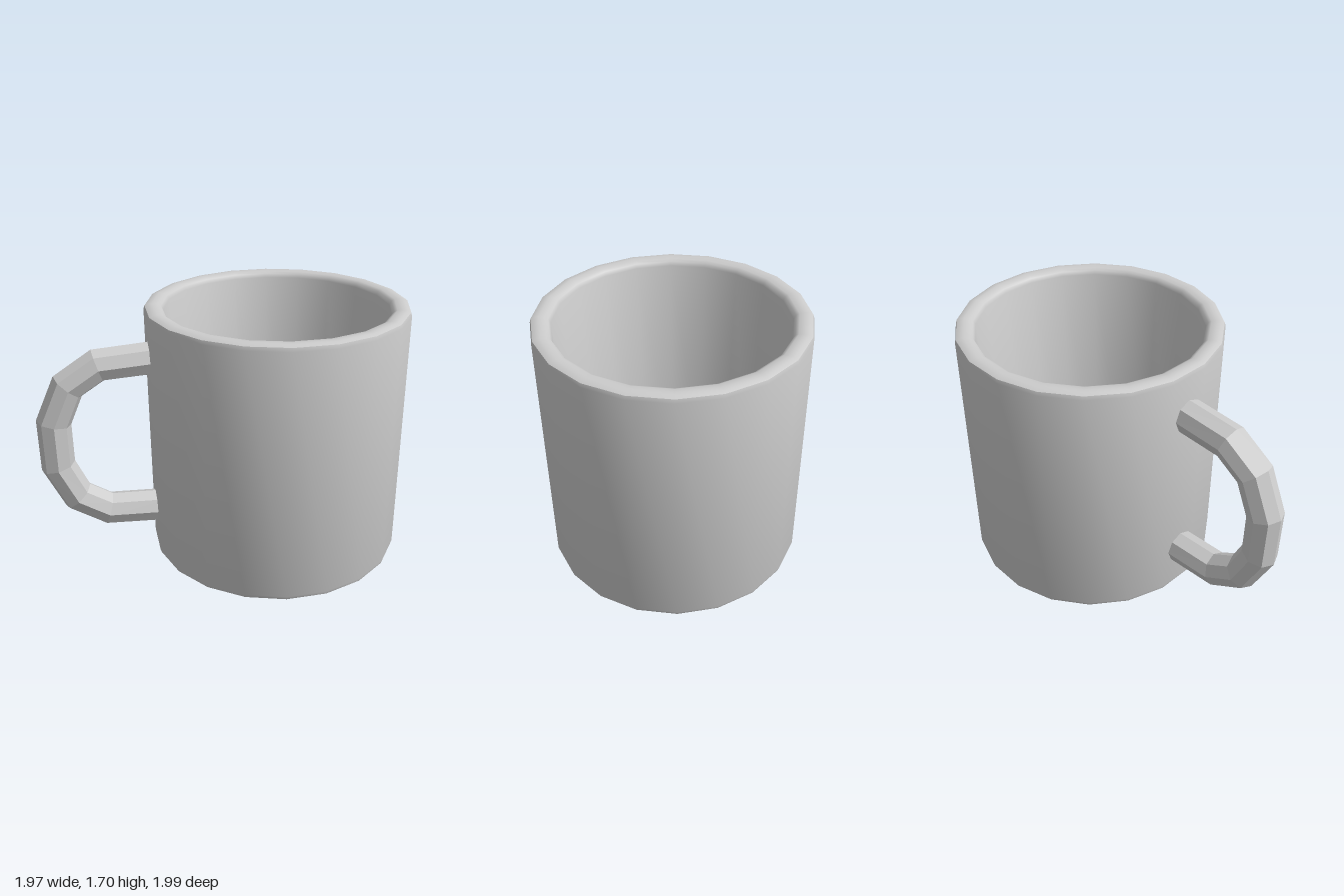
import * as THREE from 'three';
import { toCreasedNormals } from 'three/addons/utils/BufferGeometryUtils.js';

// Octagonal tube swept along a path in the (t, y) plane, with bisected joints
function sweepOctagon(path, radius, sides = 8) {
  const positions = [];
  const index = [];
  path.forEach((p, i) => {
    const before = path[Math.max(i - 1, 0)];
    const after = path[Math.min(i + 1, path.length - 1)];
    const dirIn = p.clone().sub(before).normalize();
    const dirOut = after.clone().sub(p).normalize();
    const tangent = dirIn.add(dirOut).normalize();
    const normal = new THREE.Vector2(-tangent.y, tangent.x);
    for (let k = 0; k < sides; k++) {
      const a = (k / sides) * Math.PI * 2;
      const n = Math.cos(a) * radius;
      positions.push(p.x + normal.x * n, p.y + normal.y * n, Math.sin(a) * radius);
    }
  });
  for (let i = 0; i < path.length - 1; i++) {
    for (let k = 0; k < sides; k++) {
      const a = i * sides + k;
      const b = i * sides + ((k + 1) % sides);
      index.push(a, b, a + sides, b, b + sides, a + sides);
    }
  }
  const geometry = new THREE.BufferGeometry();
  geometry.setAttribute('position', new THREE.Float32BufferAttribute(positions, 3));
  geometry.setIndex(index);
  geometry.computeVertexNormals();
  return geometry;
}

export function createModel() {
  const group = new THREE.Group();
  group.name = 'mug';

  // Cup: closed profile from the underside, up the outside, over the rim, down to the floor
  const profile = [
    [0, 0], [0.77, 0], [0.815, 0.002], [0.838, 0.012], [0.845, 0.035],
    [0.845, 1.665], [0.838, 1.688], [0.815, 1.698], [0.79, 1.7],
    [0.755, 1.696], [0.735, 1.685], [0.722, 1.66],
    [0.66, 0.1], [0, 0.1],
  ].map(([r, y]) => new THREE.Vector2(r, y));
  const cup = new THREE.Mesh(
    toCreasedNormals(new THREE.LatheGeometry(profile, 20), 0.7),
    new THREE.MeshStandardMaterial({ color: 0xcccccc }),
  );
  cup.name = 'cup';
  cup.position.set(0.14, 0, -0.155);
  group.add(cup);

  // Handle: lower half mirrors the upper half; ends are buried in the cup wall
  const midY = 0.857;
  const upper = [[1.245, 0.153], [1.138, 0.39], [0.945, 0.513], [0.566, 0.535]];
  const path = [
    ...upper.map(([t, h]) => new THREE.Vector2(t, midY + h)).reverse(),
    ...upper.map(([t, h]) => new THREE.Vector2(t, midY - h)),
  ];
  const handle = new THREE.Mesh(
    sweepOctagon(path, 0.11),
    new THREE.MeshStandardMaterial({ color: 0xcccccc, flatShading: true, side: THREE.DoubleSide }),
  );
  handle.name = 'handle';
  handle.rotation.y = -Math.PI * 0.75; // points to the front right
  group.add(handle);

  return group;
}
